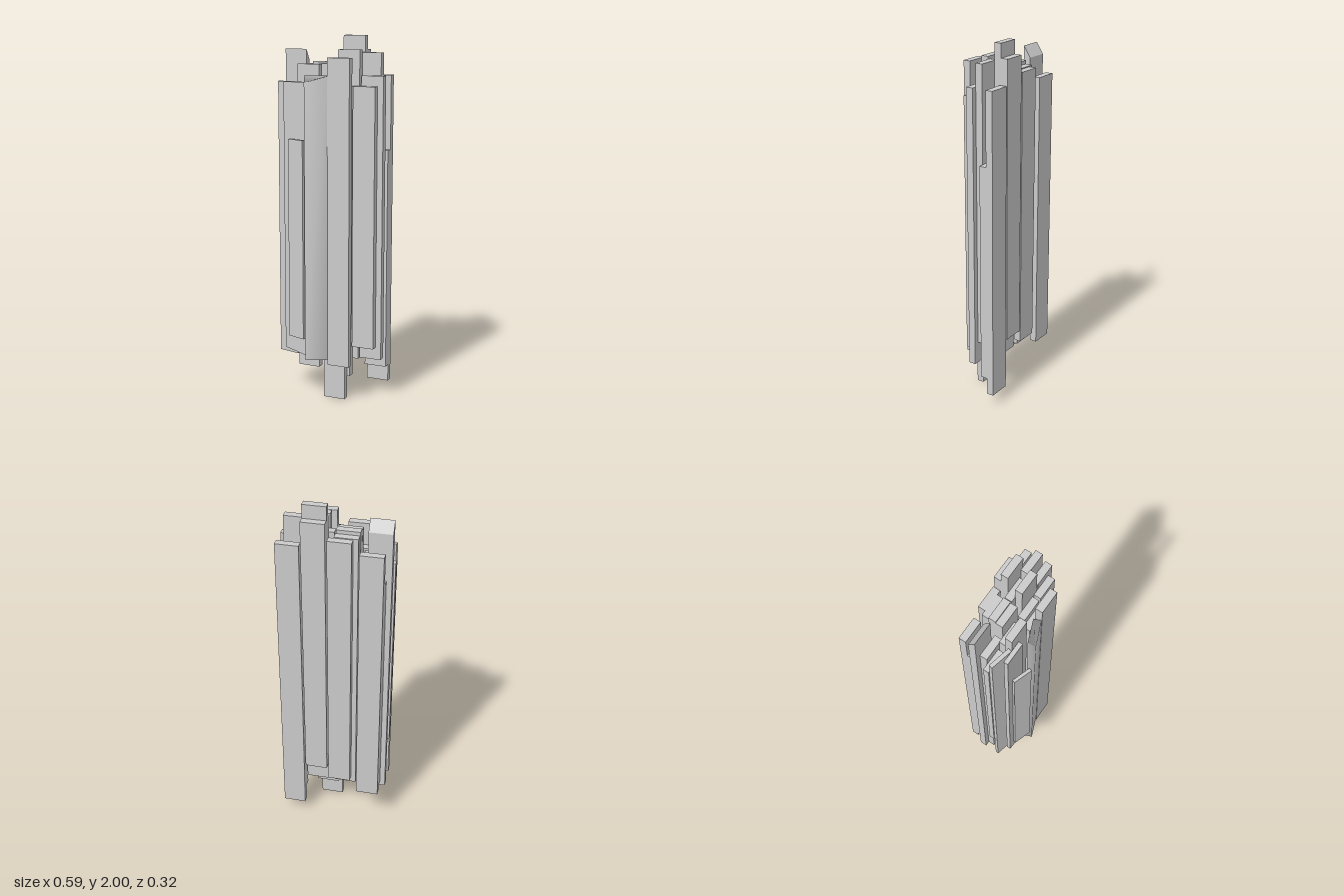
import * as THREE from 'three';
import { mergeVertices } from 'three/addons/utils/BufferGeometryUtils.js';

const material = new THREE.MeshStandardMaterial({ color: 0xcccccc });
const W = 0.125; // standard board width

// Board standing upright between y0 and y1; shape(x, y, z) returns a height offset per corner
function board(name, x, z, y0, y1, { w = W, t = 0.04, turn = 0, shape, smooth } = {}) {
  let geo = new THREE.BoxGeometry(w, y1 - y0, t);
  if (shape) {
    const p = geo.attributes.position;
    for (let i = 0; i < p.count; i++) {
      p.setY(i, p.getY(i) + shape(p.getX(i), p.getY(i), p.getZ(i)));
    }
  }
  if (smooth) {
    geo.deleteAttribute('normal');
    geo.deleteAttribute('uv');
    geo = mergeVertices(geo);
  }
  geo.computeVertexNormals();
  const mesh = new THREE.Mesh(geo, material);
  mesh.name = name;
  mesh.position.set(x, (y0 + y1) / 2, z);
  mesh.rotation.y = turn;
  return mesh;
}

export function createModel() {
  const group = new THREE.Group();
  group.name = 'plankStack';

  // Straight rows from back to front: [z centre, [x centre, bottom, top], ...]
  const rows = [
    [-0.143, [-0.2, 0.215, 1.775], [-0.036, 0.29, 1.835], [0.098, 0.36, 1.925], [0.232, 0.07, 1.79]],
    [-0.103, [-0.2, 0.25, 1.6], [-0.0625, 0.25, 1.84], [0.098, 0.25, 2], [0.232, 0.165, 1.39]],
    [-0.063, [-0.065, 0.22, 1.86], [0.068, 0.23, 1.845], [0.204, 0.355, 1.91]],
    [-0.0235, [-0.2, 0.22, 1.72], [-0.0655, 0.23, 1.85], [0.098, 0.22, 1.925], [0.232, 0.23, 1.79]],
    [0.0155, [-0.095, 0.23, 1.73], [0.063, 0.125, 1.735], [0.2, 0.3, 1.735]],
    [0.055, [-0.103, 0.17, 1.85], [0.048, 0, 1.685]],
    [0.0965, [0.088, 0.205, 1.885]],
  ];
  rows.forEach(([z, ...planks], r) => planks.forEach(([x, y0, y1], i) => {
    group.add(board(`plankRow${r + 1}Number${i + 1}`, x, z, y0, y1));
  }));

  // Plank with a bevelled top, lower at the back
  group.add(board('bevelledPlank', -0.229, -0.063, 0.22, 1.925, {
    shape: (x, y, z) => (y > 0 && z < 0 ? -0.06 : 0),
  }));

  // Thinner boards on the right-hand side
  group.add(board('thinShortBoard', -0.2325, 0.0115, 0.51, 1.66, { t: 0.031 }));
  group.add(board('leaningThinBoard', -0.231, 0.0525, 0.232, 1.755, { t: 0.021, turn: -0.226 }));
  group.add(board('slantCutBoard', -0.175, 0.0885, 0.235, 1.755, {
    t: 0.023, shape: (x, y) => (y < 0 && x < 0 ? 0.035 : 0),
  }));
  group.add(board('narrowLath', -0.153, 0.125, 0.345, 1.45, { w: 0.107, t: 0.017, turn: -0.33 }));

  // Angled, softly shaded front plank with one chipped top corner
  group.add(board('angledFrontPlank', -0.039, 0.118, 0.23, 1.79, {
    turn: 0.38, smooth: true,
    shape: (x, y, z) => (y > 0 && x < 0 && z > 0 ? -0.035 : 0),
  }));

  return group;
}
